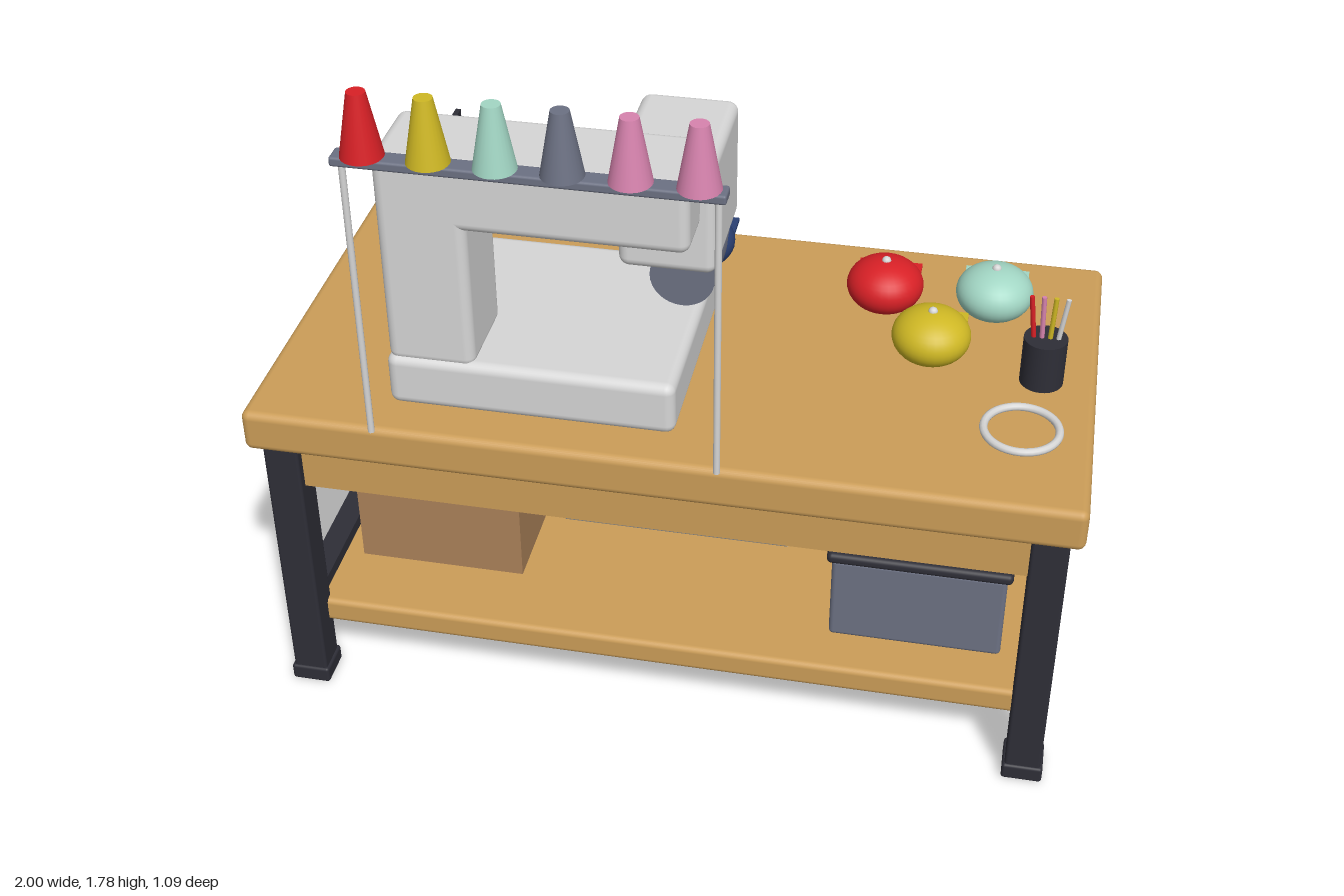
import * as THREE from 'three';
import { RoundedBoxGeometry } from 'three/addons/geometries/RoundedBoxGeometry.js';

const mat = (name, color) => {
  const m = new THREE.MeshStandardMaterial({ color });
  m.name = name;
  return m;
};

export function createModel() {
  const wood = mat('wood', 0xcb9d58);
  const dark = mat('charcoal', 0x2e2e37);
  const light = mat('light grey', 0xd6d6d6);
  const card = mat('cardboard', 0xab8159);
  const slate = mat('slate', 0x6c7183);
  const red = mat('red', 0xd82026);
  const yellow = mat('yellow', 0xcfb824);
  const mint = mat('mint', 0xa2d6c4);
  const pink = mat('pink', 0xd783ae);
  const navy = mat('navy', 0x2b4073);

  const model = new THREE.Group();
  model.name = 'sewingTable';

  const add = (name, geometry, material, x, y, z, parent = model) => {
    const mesh = new THREE.Mesh(geometry, material);
    mesh.name = name;
    mesh.position.set(x, y, z);
    parent.add(mesh);
    return mesh;
  };
  // Box given by its limits on each axis; r rounds the edges
  const box = (name, material, [x0, x1], [y0, y1], [z0, z1], r = 0, parent = model) => {
    const s = [x1 - x0, y1 - y0, z1 - z0];
    const g = r ? new RoundedBoxGeometry(...s, 3, r) : new THREE.BoxGeometry(...s);
    return add(name, g, material, (x0 + x1) / 2, (y0 + y1) / 2, (z0 + z1) / 2, parent);
  };
  const group = (name) => {
    const g = new THREE.Group();
    g.name = name;
    model.add(g);
    return g;
  };

  // Table
  const table = group('table');
  box('tableTop', wood, [-1, 1], [0.77, 0.88], [-0.545, 0.495], 0.02, table);
  box('lowerShelf', wood, [-0.925, 0.925], [0.16, 0.23], [-0.45, 0.405], 0.015, table);
  for (const z of [0.42, -0.465]) {
    box('apron', wood, [-0.9, 0.9], [0.637, 0.775], [z - 0.02, z + 0.02], 0, table);
    for (const x of [-0.924, 0.924]) {
      box('leg', dark, [x - 0.044, x + 0.044], [0.02, 0.78], [z - 0.044, z + 0.044], 0.008, table);
      box('foot', dark, [x - 0.05, x + 0.05], [0, 0.045], [z - 0.05, z + 0.05], 0.008, table);
    }
  }
  for (const x of [-0.924, 0.924]) {
    box('sideRail', dark, [x - 0.03, x + 0.03], [0.207, 0.262], [-0.465, 0.42], 0, table);
  }

  // Goods on the lower shelf
  const carton = group('carton');
  box('cartonBody', card, [-0.845, -0.41], [0.23, 0.507], [-0.31, 0.21], 0, carton);
  box('cartonTape', card, [-0.66, -0.6], [0.507, 0.512], [-0.31, 0.21], 0, carton);
  box('cartonLabel', light, [-0.595, -0.46], [0.32, 0.4], [-0.315, -0.31], 0, carton);

  const bin = group('storageBin');
  box('binBody', slate, [0.408, 0.84], [0.232, 0.475], [-0.328, 0.285], 0.012, bin);
  box('binLid', dark, [0.395, 0.853], [0.47, 0.5], [-0.338, 0.295], 0.013, bin);
  box('binLabel', light, [0.515, 0.745], [0.333, 0.408], [-0.335, -0.327], 0, bin);

  const roll = group('fabricRoll');
  add('rollBody', new THREE.CylinderGeometry(0.063, 0.063, 0.605, 32), light, -0.045, 0.293, -0.055, roll)
    .rotation.z = Math.PI / 2;
  add('rollCore', new THREE.CylinderGeometry(0.03, 0.03, 0.615, 24), dark, -0.045, 0.288, -0.055, roll)
    .rotation.z = Math.PI / 2;

  // Sewing machine, working side towards the back
  const machine = group('sewingMachine');
  box('machineBase', light, [-0.66, 0.035], [0.88, 1.018], [-0.193, 0.388], 0.025, machine);
  box('machineColumn', light, [-0.655, -0.445], [1.0, 1.55], [0.147, 0.378], 0.025, machine);
  box('machineArm', light, [-0.655, 0.068], [1.373, 1.555], [0.147, 0.378], 0.025, machine);
  box('machineHead', light, [-0.125, 0.105], [1.245, 1.547], [-0.055, 0.25], 0.025, machine);
  box('machineScreen', mint, [-0.105, 0.085], [1.33, 1.52], [-0.06, -0.052], 0, machine);
  box('controlPlate', dark, [-0.557, -0.545], [1.32, 1.5], [0.035, 0.16], 0, machine);
  add('needleBar', new THREE.CylinderGeometry(0.008, 0.008, 0.08, 12), light, -0.01, 1.215, 0.03, machine);
  add('capHoop', new THREE.CylinderGeometry(0.08, 0.08, 0.21, 32), slate, -0.01, 1.114, -0.04, machine)
    .rotation.x = Math.PI / 2;

  // Caps: flattened dome, flat bill towards the back, small button
  const cap = (name, material, x, y, z, s = 1) => {
    const g = group(name);
    g.position.set(x, y, z);
    g.scale.setScalar(s);
    add('capDome', new THREE.SphereGeometry(0.098, 32, 20), material, 0, 0, 0, g).scale.y = 0.72;
    box('capBill', material, [-0.082, 0.082], [-0.044, -0.034], [-0.166, 0], 0, g);
    add('capButton', new THREE.SphereGeometry(0.012, 12, 8), light, 0, 0.069, 0, g);
    return g;
  };
  cap('redCap', red, 0.45, 0.928, -0.29);
  cap('yellowCap', yellow, 0.588, 0.928, -0.08);
  cap('mintCap', mint, 0.728, 0.928, -0.305);
  const hooped = cap('hoopedCap', navy, -0.01, 1.094, -0.145, 0.94);
  hooped.children[1].position.y += 0.012;
  box('stitchedPatch', yellow, [-0.048, 0.028], [1.145, 1.163], [-0.162, -0.152]);

  // Thread rack with cones
  const rack = group('threadRack');
  for (const x of [-0.67, 0.155]) {
    add('rackPost', new THREE.CylinderGeometry(0.008, 0.008, 0.73, 12), light, x, 1.24, 0.495, rack);
  }
  box('rackBar', slate, [-0.69, 0.175], [1.6, 1.623], [0.47, 0.52], 0.006, rack);
  [red, yellow, mint, slate, pink, pink].forEach((m, i) => {
    add('threadCone', new THREE.CylinderGeometry(0.021, 0.049, 0.153, 24), m, -0.621 + i * 0.147, 1.699, 0.495, rack);
  });

  // Pencil cup
  const cup = group('pencilCup');
  add('cupBody', new THREE.CylinderGeometry(0.053, 0.053, 0.127, 28), dark, 0.865, 0.943, -0.005, cup);
  [red, pink, yellow, light].forEach((m, i) => {
    const t = i - 1.5;
    add('pencil', new THREE.CylinderGeometry(0.006, 0.006, 0.2, 8), m, 0.865 + t * 0.021, 1.02, -0.005, cup)
      .rotation.z = -t * 0.08;
  });

  // Embroidery ring lying on the table
  add('embroideryRing', new THREE.TorusGeometry(0.089, 0.01, 10, 40), light, 0.83, 0.89, 0.215)
    .rotation.x = Math.PI / 2;

  return model;
}
